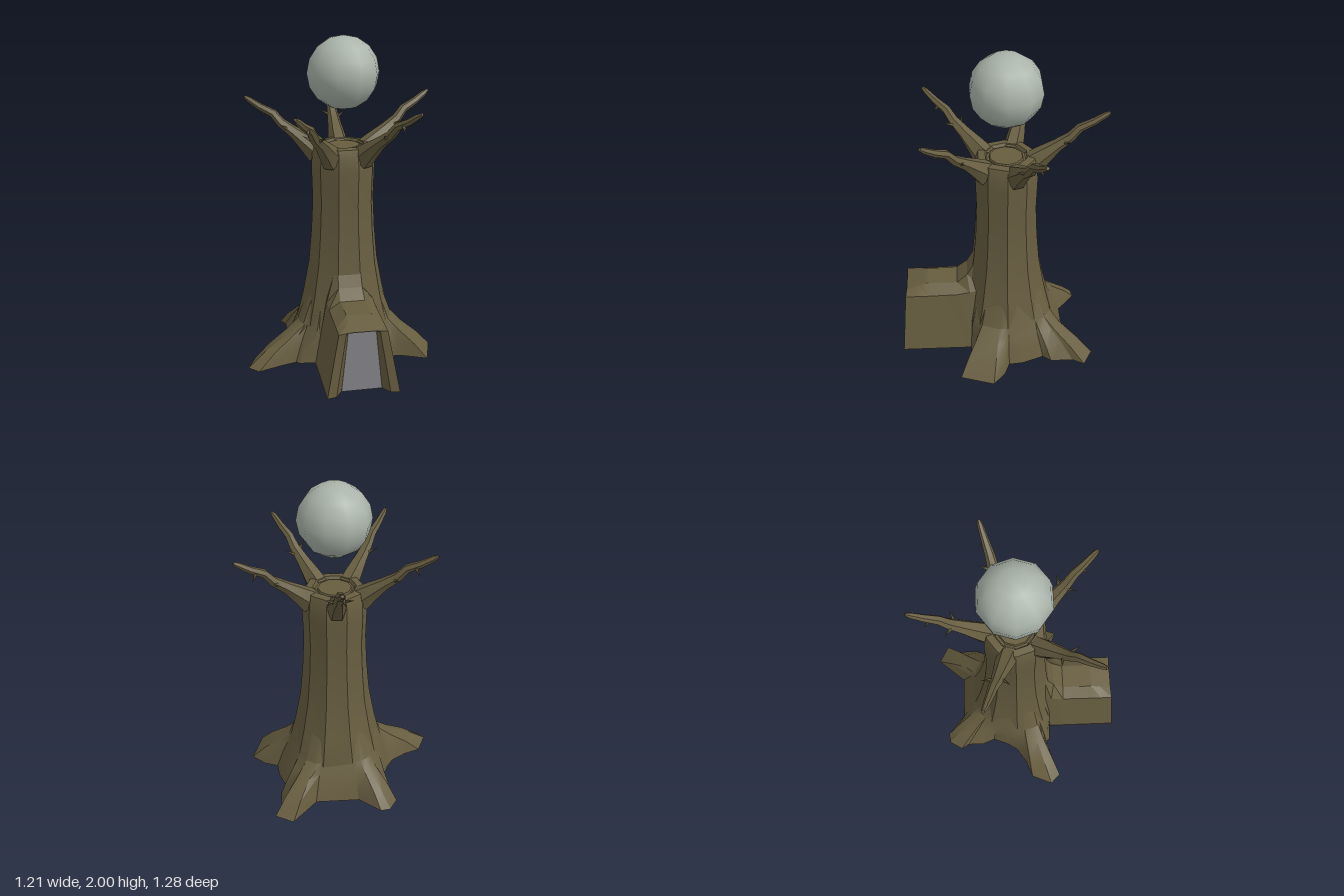
import * as THREE from 'three';
import { mergeVertices, toCreasedNormals } from 'three/addons/utils/BufferGeometryUtils.js';

const CX = 0.035, CZ = -0.035; // trunk axis

const bark = new THREE.MeshStandardMaterial({ color: 0x675d40, side: THREE.DoubleSide });
const orbMat = new THREE.MeshStandardMaterial({ color: 0xaab4aa });
const doorMat = new THREE.MeshStandardMaterial({ color: 0x858388, side: THREE.DoubleSide });

// Skin between equal-length rings of [x, y, z]; rings run counter-clockwise about the direction of travel
function loft(rings, { closed = true, cap = false, crease = 0.5 } = {}) {
  const n = rings[0].length, idx = [];
  const pos = rings.flat(2);
  for (let i = 0; i < rings.length - 1; i++) {
    for (let j = 0; j < (closed ? n : n - 1); j++) {
      const a = i * n + j, b = i * n + (j + 1) % n;
      idx.push(a, b, b + n, a, b + n, a + n);
    }
  }
  if (cap) {
    const last = (rings.length - 1) * n;
    for (let j = 1; j < n - 1; j++) idx.push(last, last + j, last + j + 1);
  }
  const g = new THREE.BufferGeometry();
  g.setAttribute('position', new THREE.Float32BufferAttribute(pos, 3));
  g.setIndex(idx);
  return toCreasedNormals(g, crease);
}

function add(parent, name, geometry, material = bark) {
  const m = new THREE.Mesh(geometry, material);
  m.name = name;
  parent.add(m);
  return m;
}

// Branch built pointing along +z from the trunk axis
function createBranch(flip) {
  const g = new THREE.Group();
  // radius, height, half width, half thickness
  const path = [
    [0.155, 1.285, 0.062, 0.072], [0.225, 1.345, 0.056, 0.052], [0.3, 1.405, 0.043, 0.033],
    [0.38, 1.462, 0.034, 0.026], [0.43, 1.52, 0.029, 0.023], [0.51, 1.558, 0.023, 0.02],
    [0.575, 1.6, 0.018, 0.016], [0.603, 1.618, 0.01, 0.009],
  ];
  const rings = path.map(([r, y, w, h], i) => {
    const p = path[Math.max(i - 1, 0)], q = path[Math.min(i + 1, path.length - 1)];
    const t = new THREE.Vector2(q[0] - p[0], q[1] - p[1]).normalize();
    return Array.from({ length: 6 }, (_, k) => {
      const a = (k / 6) * Math.PI * 2, s = Math.sin(a) * h * 1.12;
      return [Math.cos(a) * w, y + s * t.x, r - s * t.y];
    });
  });
  add(g, 'limb', loft(rings, { cap: true, crease: 0.8 }));

  // Short twigs: position, direction, length
  const twigs = [
    [[0.02, 1.445, 0.36], [0.75, 0.35, 0.45], 0.08],
    [[-0.02, 1.43, 0.34], [-0.75, 0.45, 0.4], 0.08],
    [[0.01, 1.535, 0.48], [0.35, -0.75, 0.5], 0.055],
  ];
  for (const [p, d, len] of twigs) {
    const dir = new THREE.Vector3(d[0] * flip, d[1], d[2]).normalize();
    const geo = new THREE.ConeGeometry(0.013, len, 5).translate(0, len / 2, 0);
    const twig = add(g, 'twig', geo);
    twig.position.set(p[0] * flip, p[1], p[2]);
    twig.quaternion.setFromUnitVectors(new THREE.Vector3(0, 1, 0), dir);
  }
  return g;
}

export function createModel() {
  const model = new THREE.Group();
  model.name = 'treeTower';

  // Ten-sided trunk with a grooved top
  const profile = [
    [0.31, 0], [0.305, 0.2], [0.255, 0.4], [0.218, 0.6], [0.2, 0.8], [0.19, 1.0], [0.196, 1.2],
    [0.192, 1.29], [0.175, 1.345], [0.13, 1.35], [0.12, 1.33], [0.105, 1.33], [0.1, 1.342], [0, 1.342],
  ].map(([r, y]) => new THREE.Vector2(r, y));
  const trunkGeo = new THREE.LatheGeometry(profile, 10, Math.PI / 10);
  trunkGeo.deleteAttribute('uv');
  trunkGeo.deleteAttribute('normal');
  const trunk = add(model, 'trunk', toCreasedNormals(mergeVertices(trunkGeo), 0.5));
  trunk.position.set(CX, 0, CZ);

  // Root outline on the ground, from the left of the porch round the back
  const outline = [
    [-0.185, 0.2], [-0.28, 0.19], [-0.3, 0.17], [-0.4, 0.2], [-0.54, 0.25], [-0.6, 0.19], [-0.545, 0.06],
    [-0.44, 0.02], [-0.35, -0.04], [-0.31, -0.1], [-0.27, -0.2], [-0.3, -0.28], [-0.3, -0.38],
    [-0.33, -0.43], [-0.28, -0.51], [-0.22, -0.52], [-0.09, -0.41], [0.18, -0.41], [0.33, -0.58],
    [0.44, -0.52], [0.4, -0.45], [0.4, -0.31], [0.36, -0.26], [0.41, -0.13], [0.42, -0.04], [0.5, -0.01],
    [0.585, 0.065], [0.52, 0.27], [0.36, 0.2], [0.25, 0.2],
  ];
  // height, core radius, share of the root's reach that remains
  const levels = [[0, 0.3, 1], [0.085, 0.3, 0.68], [0.165, 0.305, 0.27], [0.23, 0.29, 0.06], [0.42, 0.235, 0]];
  const skirt = levels.map(([y, core, share]) => outline.slice().reverse().map(([x, z]) => {
    const dx = x - CX, dz = z - CZ, r = Math.hypot(dx, dz);
    const s = (core + (r - 0.3) * share) / r;
    return [CX + dx * s, y, CZ + dz * s];
  }));
  add(model, 'roots', loft(skirt, { crease: 0.45 }));

  // Flat underside of roots and porch
  const ground = [...outline, [0.25, 0.64], [0.195, 0.63], [0.155, 0.57], [-0.09, 0.57], [-0.13, 0.63], [-0.185, 0.64]];
  const base = new THREE.ShapeGeometry(new THREE.Shape(ground.map(([x, z]) => new THREE.Vector2(x, z))));
  add(model, 'underside', base.rotateX(Math.PI / 2));

  // Porch: half widths at foot, shoulder and ridge, with their heights and depths
  const section = (foot, shoulder, ridge, sy, ry, fz, sz, rz) => [
    [CX + foot, 0, fz], [CX + shoulder, sy, sz], [CX + ridge, ry, rz],
    [CX - ridge, ry, rz], [CX - shoulder, sy, sz], [CX - foot, 0, fz],
  ];
  const porch = [
    section(0.215, 0.13, 0.07, 0.42, 0.64, 0.1, 0.1, 0.14),
    section(0.217, 0.145, 0.073, 0.41, 0.5, 0.2, 0.2, 0.215),
    section(0.217, 0.145, 0.075, 0.395, 0.44, 0.28, 0.28, 0.28),
    section(0.217, 0.145, 0.075, 0.39, 0.44, 0.47, 0.47, 0.47),
    section(0.217, 0.145, 0.075, 0.39, 0.42, 0.54, 0.54, 0.53),
    section(0.217, 0.145, 0.08, 0.388, 0.395, 0.64, 0.61, 0.605),
    section(0.162, 0.1, 0.08, 0.385, 0.392, 0.63, 0.605, 0.605),
    section(0.122, 0.082, 0.07, 0.383, 0.388, 0.57, 0.57, 0.57),
  ];
  add(model, 'porch', loft(porch, { closed: false, crease: 0.3 }));

  // Tapered door set back in the porch
  const door = new THREE.Shape([[-0.122, 0], [0.122, 0], [0.082, 0.386], [-0.082, 0.386]]
    .map(([x, y]) => new THREE.Vector2(CX + x, y)));
  add(model, 'door', new THREE.ShapeGeometry(door).translate(0, 0, 0.572), doorMat);

  // Five branches around the crown, one straight back
  for (let i = 0; i < 5; i++) {
    const branch = createBranch(i % 2 ? -1 : 1);
    branch.name = 'branch';
    branch.position.set(CX, 0, CZ);
    branch.rotation.y = Math.PI + (i * Math.PI * 2) / 5;
    model.add(branch);
  }

  // Floating orb
  const orb = add(model, 'orb', new THREE.SphereGeometry(0.22, 10, 8), orbMat);
  orb.position.set(CX, 1.78, CZ);

  return model;
}
